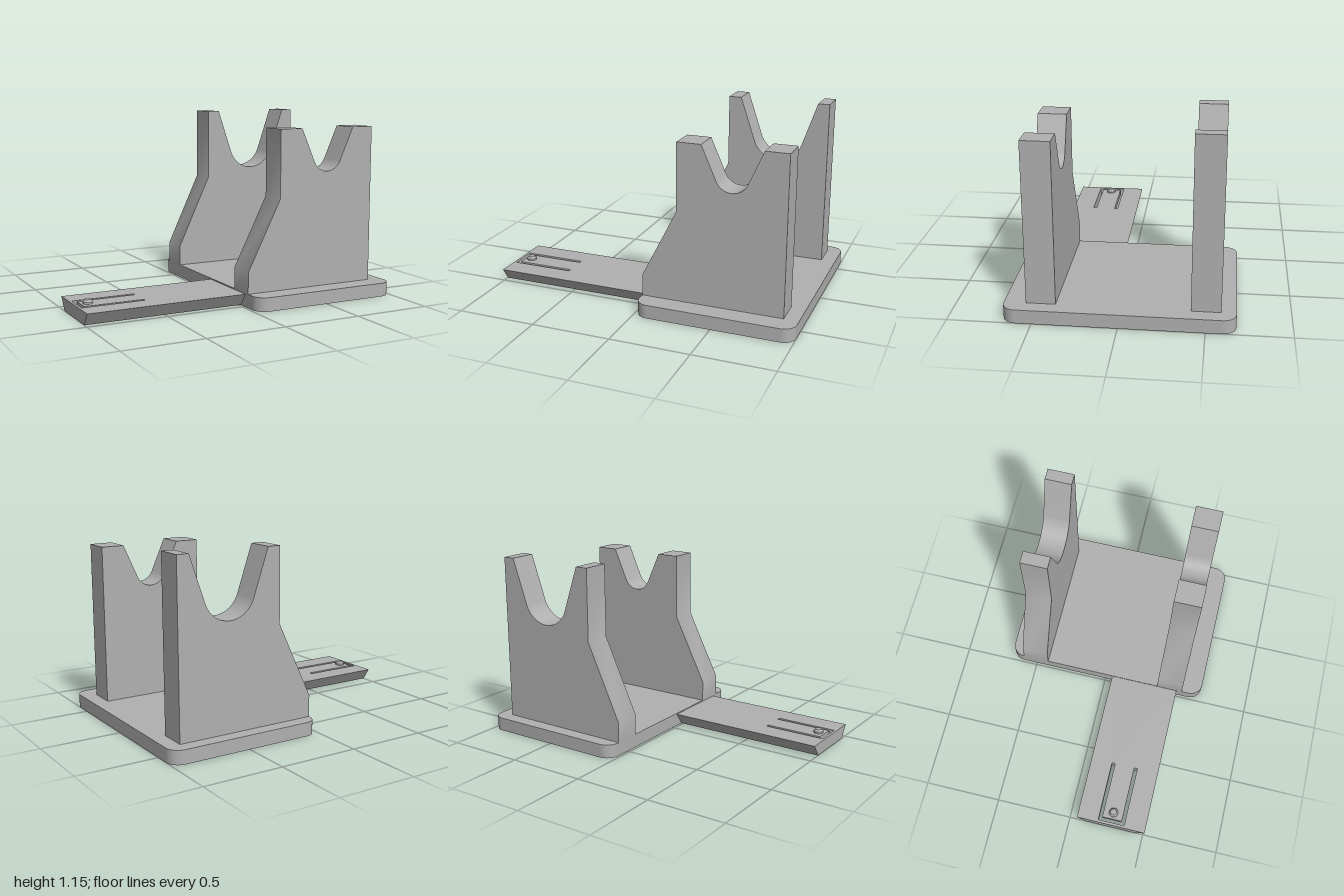
import * as THREE from 'three';
import { toCreasedNormals } from 'three/addons/utils/BufferGeometryUtils.js';

const BASE_H = 0.086, ARM_H = 0.079, ARM_Z = 0.28;

// Closed outline from [a, b] pairs
const outline = (pts, Type = THREE.Shape) => new Type(pts.map(([a, b]) => new THREE.Vector2(a, b)));

// Rectangle in plan (x, z); shape y is -z
const rect = (x0, x1, z0, z1, Type) => outline([[x0, -z1], [x1, -z1], [x1, -z0], [x0, -z0]], Type);

// Extrude a plan shape upward from y0 to y1
function slab(shape, y0, y1) {
  const g = new THREE.ExtrudeGeometry(shape, { depth: y1 - y0, bevelEnabled: false, curveSegments: 20 });
  g.rotateX(-Math.PI / 2).translate(0, y0, 0);
  return g;
}

function roundedPlan(x0, x1, z, r) {
  const s = new THREE.Shape();
  s.absarc(x1 - r, z - r, r, 0, Math.PI / 2);
  s.absarc(x0 + r, z - r, r, Math.PI / 2, Math.PI);
  s.absarc(x0 + r, -z + r, r, Math.PI, 1.5 * Math.PI);
  s.absarc(x1 - r, -z + r, r, 1.5 * Math.PI, 2 * Math.PI);
  s.closePath();
  return s;
}

// Upright plate with a V notch that ends in a round seat
function cradle({ top, shoulder, seatY, r, angle, z0, z1 }) {
  const cx = 0.575, a = THREE.MathUtils.degToRad(angle), cy = seatY + r;
  const half = r * Math.cos(a) + (top - cy + r * Math.sin(a)) * Math.tan(a);
  const s = new THREE.Shape();
  s.moveTo(0.015, BASE_H);
  s.lineTo(0.908, BASE_H);
  s.lineTo(0.908, top);
  s.lineTo(cx + half, top);
  s.absarc(cx, cy, r, -a, Math.PI + a, true);
  s.lineTo(cx - half, top);
  s.lineTo(0.236, top);
  s.lineTo(0.236, shoulder);
  s.lineTo(0.015, 0.22);
  s.closePath();
  const g = new THREE.ExtrudeGeometry(s, { depth: z1 - z0, bevelEnabled: false, curveSegments: 24 });
  return g.translate(0, 0, z0);
}

export function createModel() {
  const model = new THREE.Group();
  model.name = 'cradleStand';
  const grey = new THREE.MeshStandardMaterial({ color: 0xb0b0b0 });
  grey.name = 'grey';

  const add = (name, geometry, parent = model) => {
    const mesh = new THREE.Mesh(toCreasedNormals(geometry, 0.5), grey);
    mesh.name = name;
    parent.add(mesh);
    return mesh;
  };

  // Base plate: lower layer has two blind round pockets underneath
  const base = new THREE.Group();
  base.name = 'base';
  model.add(base);
  const pocketTop = 0.045;
  const lower = roundedPlan(0.015, 1, 0.676, 0.08);
  for (const z of [-0.39, 0.49]) {
    const hole = new THREE.Path();
    hole.absarc(0.59, -z, 0.115, 0, Math.PI * 2, true);
    lower.holes.push(hole);
  }
  add('baseLower', slab(lower, 0, pocketTop), base);
  add('baseUpper', slab(roundedPlan(0.015, 1, 0.676, 0.08), pocketTop, BASE_H), base);

  // Uprights
  add('frontCradle', cradle({ top: 1.08, shoulder: 0.655, seatY: 0.81, r: 0.104, angle: 24, z0: 0.371, z1: 0.546 }));
  add('backCradle', cradle({ top: 1.15, shoulder: 0.69, seatY: 0.75, r: 0.168, angle: 19, z0: -0.589, z1: -0.414 }));

  // Arm with undercut sides; a U-shaped slot frees a thin spring tongue
  const arm = new THREE.Group();
  arm.name = 'arm';
  model.add(arm);
  const undercut = (g) => {
    const p = g.attributes.position;
    for (let i = 0; i < p.count; i++) {
      const d = p.getZ(i) - ARM_Z;
      if (Math.abs(d) > 0.2) p.setZ(i, p.getZ(i) - Math.sign(d) * 0.055 * (1 - p.getY(i) / ARM_H));
    }
    g.computeVertexNormals();
    return g;
  };
  const armPlan = () => rect(-1, 0.016, 0.05, 0.51);
  const tongueBottom = 0.042;

  const armLower = armPlan();
  armLower.holes.push(rect(-0.983, -0.588, 0.192, 0.368, THREE.Path));
  add('armLower', undercut(slab(armLower, 0, tongueBottom)), arm);

  const armUpper = armPlan();
  armUpper.holes.push(outline([
    [-0.983, -0.368], [-0.588, -0.368], [-0.588, -0.346], [-0.959, -0.346],
    [-0.959, -0.214], [-0.588, -0.214], [-0.588, -0.192], [-0.983, -0.192],
  ], THREE.Path));
  add('armUpper', undercut(slab(armUpper, tongueBottom, ARM_H)), arm);

  // Catch button on the tongue
  const button = new THREE.LatheGeometry(
    [[0.03, 0], [0.03, 0.012], [0.02, 0.025], [0, 0.025]].map(([x, y]) => new THREE.Vector2(x, y)), 32);
  add('catchButton', button, arm).position.set(-0.915, ARM_H - 0.001, ARM_Z);

  return model;
}
